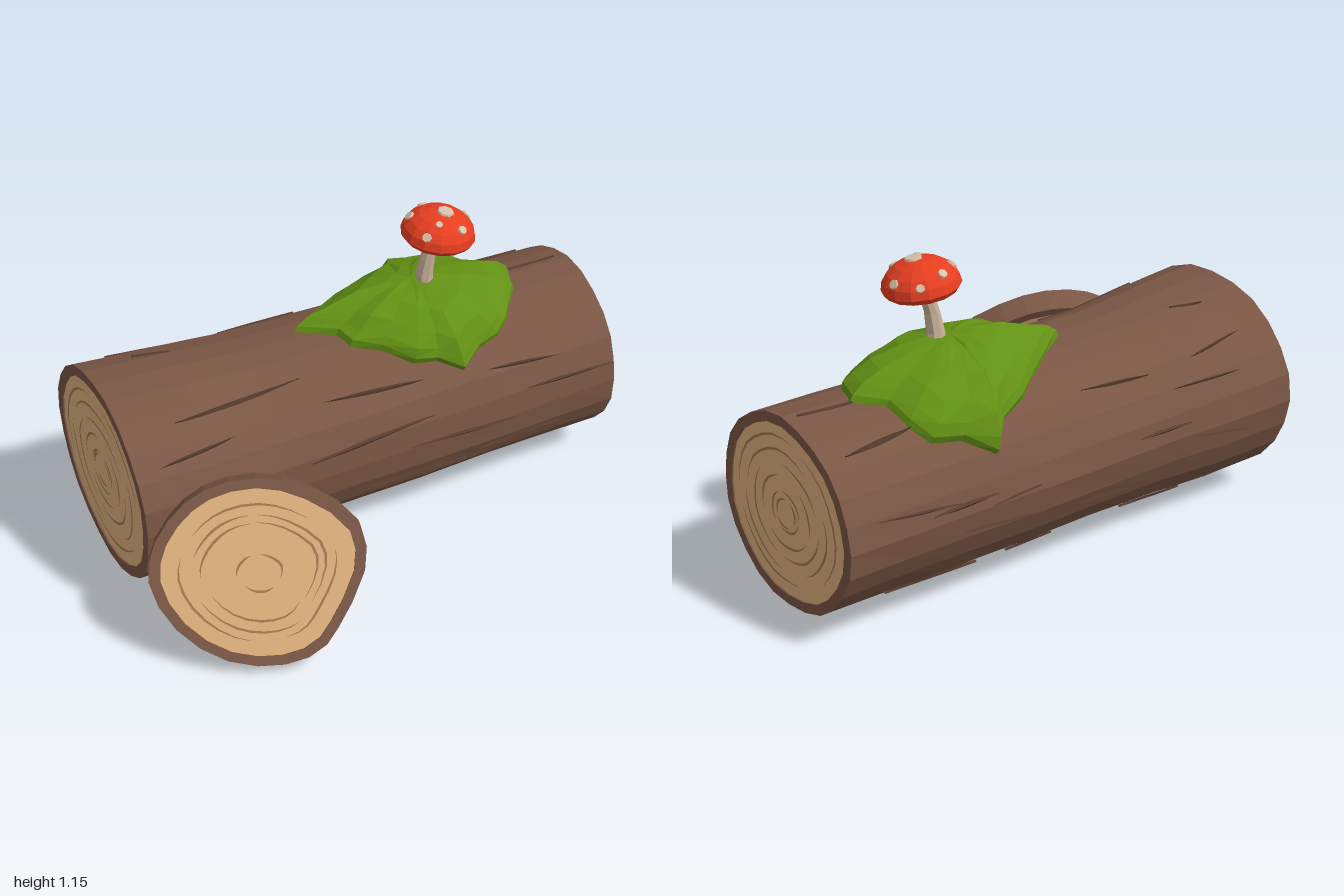
import * as THREE from 'three';
import { mergeGeometries } from 'three/addons/utils/BufferGeometryUtils.js';

const mat = (name, color) => {
  const m = new THREE.MeshStandardMaterial({ color });
  m.name = name;
  return m;
};
const V = (x, y, z) => new THREE.Vector3(x, y, z);
const TAU = Math.PI * 2;

// Small seeded random generator
let seed = 7;
const rnd = () => (seed = (seed * 16807) % 2147483647) / 2147483647;

// Faceted surface through rows of points
function skin(rows, closed = true) {
  const n = rows[0].length, idx = [];
  for (let j = 0; j < rows.length - 1; j++) {
    for (let i = 0; i < (closed ? n : n - 1); i++) {
      const k = (i + 1) % n, a = j * n + i, b = j * n + k;
      idx.push(a, b, b + n, a, b + n, a + n);
    }
  }
  const g = new THREE.BufferGeometry().setFromPoints(rows.flat());
  g.setIndex(idx);
  const flat = g.toNonIndexed();
  flat.computeVertexNormals();
  return flat;
}
const range = (n, f) => Array.from({ length: n }, (_, i) => f(i));

// Log stations: x, centre y, radius y, centre z, radius z
const stations = [
  [-0.945, 0.415, 0.383, -0.215, 0.426], [-0.65, 0.405, 0.37, -0.212, 0.414],
  [-0.4, 0.4, 0.355, -0.213, 0.393], [0.2, 0.4, 0.35, -0.21, 0.385],
  [0.985, 0.405, 0.348, -0.205, 0.37],
];
function logAt(x) {
  let i = 0;
  while (i < stations.length - 2 && x > stations[i + 1][0]) i++;
  const t = (x - stations[i][0]) / (stations[i + 1][0] - stations[i][0]);
  return stations[i].map((v, k) => v + (stations[i + 1][k] - v) * t);
}
// Point on the log; angle runs from the top towards the front
function logPoint(x, a, lift = 0) {
  const [, cy, ry, cz, rz] = logAt(x);
  const w = lift + 0.006 * Math.sin(5 * a + 4 * x) * Math.cos(2 * a - 3 * x);
  return V(x, cy + (ry + w) * Math.cos(a), cz + (rz + w) * Math.sin(a));
}

export function createModel() {
  const bark = mat('bark', 0x7a5644), crackMat = mat('bark crack', 0x573c2f);
  const wood = mat('cut wood', 0xdeb07c), grain = mat('growth ring', 0x9f7a50);
  const mossMat = mat('moss', 0x629014), red = mat('cap red', 0xe63e20);
  const cream = mat('spot cream', 0xd8c2a8), stemMat = mat('stem', 0xc9b099);
  const model = new THREE.Group();
  const add = (name, geo, material, parent = model) => {
    const m = new THREE.Mesh(geo, material);
    m.name = name;
    parent.add(m);
    return m;
  };

  // Sawn face: bark rim, sunken wood disc and broken growth rings
  function cutFace(name, edge, centre, normal, back, rings) {
    const g = new THREE.Group();
    g.name = name;
    model.add(g);
    const P = (t, f, lift) => edge(t).sub(centre).multiplyScalar(f).add(centre).addScaledVector(normal, lift);
    const loop = (f, lift) => range(24, (i) => P(i / 24, f, lift));
    const side = (rows) => (back ? rows.reverse() : rows);
    add('barkRim', skin(side([loop(1, 0), loop(0.895, 0), loop(0.895, -0.006)])), bark, g);
    add('woodDisc', skin(side([loop(0.895, -0.006), loop(0.45, -0.006), loop(0, -0.006)])), wood, g);
    const arcs = [];
    for (const f of rings) {
      let t = rnd();
      for (let k = 0; k < 3; k++) {
        const span = 0.18 + 0.14 * rnd(), f0 = f + (rnd() - 0.5) * 0.04;
        const row = (s) => range(9, (i) => {
          const w = 0.002 + 0.011 * Math.sin((Math.PI * i) / 8);
          return P(t + (span * i) / 8, f0 + s * w, -0.002);
        });
        arcs.push(skin(side([row(1), row(-1)]), false));
        t += 0.333;
      }
    }
    add('growthRings', mergeGeometries(arcs), grain, g);
  }

  // Log body and its two ends
  const xs = [-0.945, -0.8, -0.65, -0.5, -0.4, -0.1, 0.2, 0.5, 0.75, 0.985];
  add('logBark', skin(xs.map((x) => range(24, (i) => logPoint(x, (i / 24) * TAU)))), bark);
  for (const s of [1, -1]) {
    const x = s > 0 ? 0.985 : -0.945, c = logAt(x);
    cutFace(s > 0 ? 'logEndLeft' : 'logEndRight', (t) => logPoint(x, t * TAU),
      V(x, c[1], c[3]), V(s, 0, 0), s < 0, [0.15, 0.21, 0.36, 0.5, 0.64, 0.76]);
  }

  // Tapered bark cracks: x, angle, length, half width
  const spots = [
    [-0.3, 1.35, 0.5, 0.035], [0.1, 1.55, 0.45, 0.03], [0.6, 1.3, 0.38, 0.03], [-0.05, 1.95, 0.4, 0.025],
    [0.4, 1.9, 0.35, 0.025], [-0.75, 0.6, 0.5, 0.03], [-0.8, -0.75, 0.25, 0.02], [-0.75, -0.35, 0.13, 0.012],
    [0.62, -0.6, 0.28, 0.03], [0.7, -0.1, 0.24, 0.02], [-0.2, 0.8, 0.4, 0.025], [-0.85, 0.95, 0.3, 0.02],
    [0.45, 0.98, 0.3, 0.02], [-0.35, -0.85, 0.3, 0.02],
  ];
  for (let i = 0; i < 12; i++) spots.push([-0.85 + 1.4 * rnd(), -1.1 - 1.5 * rnd(), 0.2 + 0.2 * rnd(), 0.015 + 0.012 * rnd()]);
  const cracks = spots.map(([x, a, len, w]) => {
    const drift = (rnd() - 0.5) * 0.2;
    return skin(range(8, (j) => {
      const s = j / 7, hw = w * Math.sin(Math.PI * s) ** 0.8;
      return [-1, 0, 1].map((k) => logPoint(x + len * s, a + drift * s + k * hw, k ? -0.003 : 0.006));
    }), false);
  });
  add('barkCracks', mergeGeometries(cracks), crackMat);

  // Sawn slice leaning on the log, its outline given in x, y
  const n = V(-0.34, 0.46, 0.82).normalize(), c = V(-0.635, 0.315, 0.43);
  const outline = [
    [-0.95, 0.15], [-0.82, 0.04], [-0.65, 0.01], [-0.5, 0.05], [-0.4, 0.15], [-0.28, 0.33], [-0.27, 0.46],
    [-0.4, 0.58], [-0.55, 0.63], [-0.72, 0.61], [-0.85, 0.54], [-0.96, 0.42], [-1, 0.3],
  ].map(([x, y]) => {
    const dx = (x - c.x) * 0.955, dy = (y - c.y) * 0.94;
    return V(c.x + dx, c.y + dy, c.z - (n.x * dx + n.y * dy) / n.z);
  });
  const curve = new THREE.CatmullRomCurve3(outline, true);
  const sliceEdge = (d) => (t) => curve.getPoint(((t % 1) + 1) % 1).addScaledVector(n, d);
  add('sliceBark', skin([-0.048, 0.048].map((d) => range(24, (i) => sliceEdge(d)(i / 24)))), bark);
  for (const s of [1, -1]) {
    cutFace(s > 0 ? 'sliceFront' : 'sliceBack', sliceEdge(s * 0.048), c.clone().addScaledVector(n, s * 0.048),
      n.clone().multiplyScalar(s), s < 0, [0.2, 0.52, 0.62, 0.73]);
  }

  // Moss patch draped over the log, its outline given in x, z
  const patch = [
    [-0.17, -0.24], [0.03, -0.37], [0.18, -0.46], [0.3, -0.5], [0.37, -0.56], [0.48, -0.51], [0.6, -0.49],
    [0.64, -0.42], [0.65, -0.32], [0.745, -0.24], [0.7, -0.12], [0.6, 0], [0.54, 0.04], [0.45, 0.06],
    [0.36, 0.105], [0.27, 0.06], [0.18, 0.045], [0.08, -0.03], [-0.02, -0.08], [-0.04, -0.15],
  ].reverse().map(([x, z]) => {
    const [, , , cz, rz] = logAt(x);
    return [x, Math.asin((z - cz) / (rz + 0.012))];
  });
  const mossRows = [1, 0.96, 0.87, 0.7, 0.45, 0.2, 0].map((f) => patch.map(([x, a]) => {
    const bump = f > 0 && f < 0.95 ? (rnd() - 0.5) * 0.014 : 0;
    const lift = f === 1 ? -0.012 : 0.012 + 0.1 * (1 - f ** 3) + bump;
    return logPoint(0.3 + (x - 0.3) * f, a * f, lift);
  }));
  add('mossPatch', skin(mossRows), mossMat);

  // Mushroom: bent stem, domed cap and pale spots
  const mushroom = new THREE.Group();
  mushroom.name = 'mushroom';
  model.add(mushroom);
  const path = [[0.345, 0.82, -0.19, 0.038], [0.343, 0.88, -0.186, 0.033], [0.352, 0.95, -0.18, 0.028],
    [0.366, 1.0, -0.176, 0.027], [0.38, 1.06, -0.172, 0.031]];
  add('stem', skin(path.map(([x, y, z, r]) => range(8, (i) => {
    const a = (i / 8) * TAU;
    return V(x + r * Math.sin(a), y, z + r * Math.cos(a));
  }))), stemMat, mushroom);

  const cap = new THREE.Group();
  cap.name = 'cap';
  cap.position.set(0.383, 1.03, -0.168);
  cap.rotation.set(0.06, 0, -0.11);
  mushroom.add(cap);
  const R = 0.138, H = 0.1, base = 0.02;
  const dome = range(6, (i) => {
    const p = (Math.PI / 2) * (1 - i / 5);
    return [R * Math.sin(p), base + H * Math.cos(p)];
  });
  const profile = [[0, 0.022], [0.08, 0.012], [0.122, 0], ...dome];
  add('capDome', skin(profile.map(([r, y]) => range(14, (i) => {
    const a = (i / 14) * TAU;
    return V(r * Math.sin(a), y, r * Math.cos(a));
  }))), red, cap);
  // Spots: polar angle, azimuth from the front, radius
  const dots = [[0.12, 0.5, 0.032], [0.85, 0.35, 0.018], [0.95, -2.1, 0.02], [0.9, 3.3, 0.018],
    [1.1, -0.9, 0.018], [1.05, 1.7, 0.018], [0.6, -0.6, 0.014], [1.15, 2.5, 0.016]];
  for (const [p, az, r] of dots) {
    const dot = add('capSpot', new THREE.CylinderGeometry(r * 0.9, r, 0.009, 7), cream, cap);
    const s = Math.sin(p), q = Math.cos(p);
    dot.position.set(R * s * Math.sin(az), base + H * q, R * s * Math.cos(az));
    const up = V((s / R) * Math.sin(az), q / H, (s / R) * Math.cos(az)).normalize();
    dot.quaternion.setFromUnitVectors(V(0, 1, 0), up);
  }
  return model;
}
